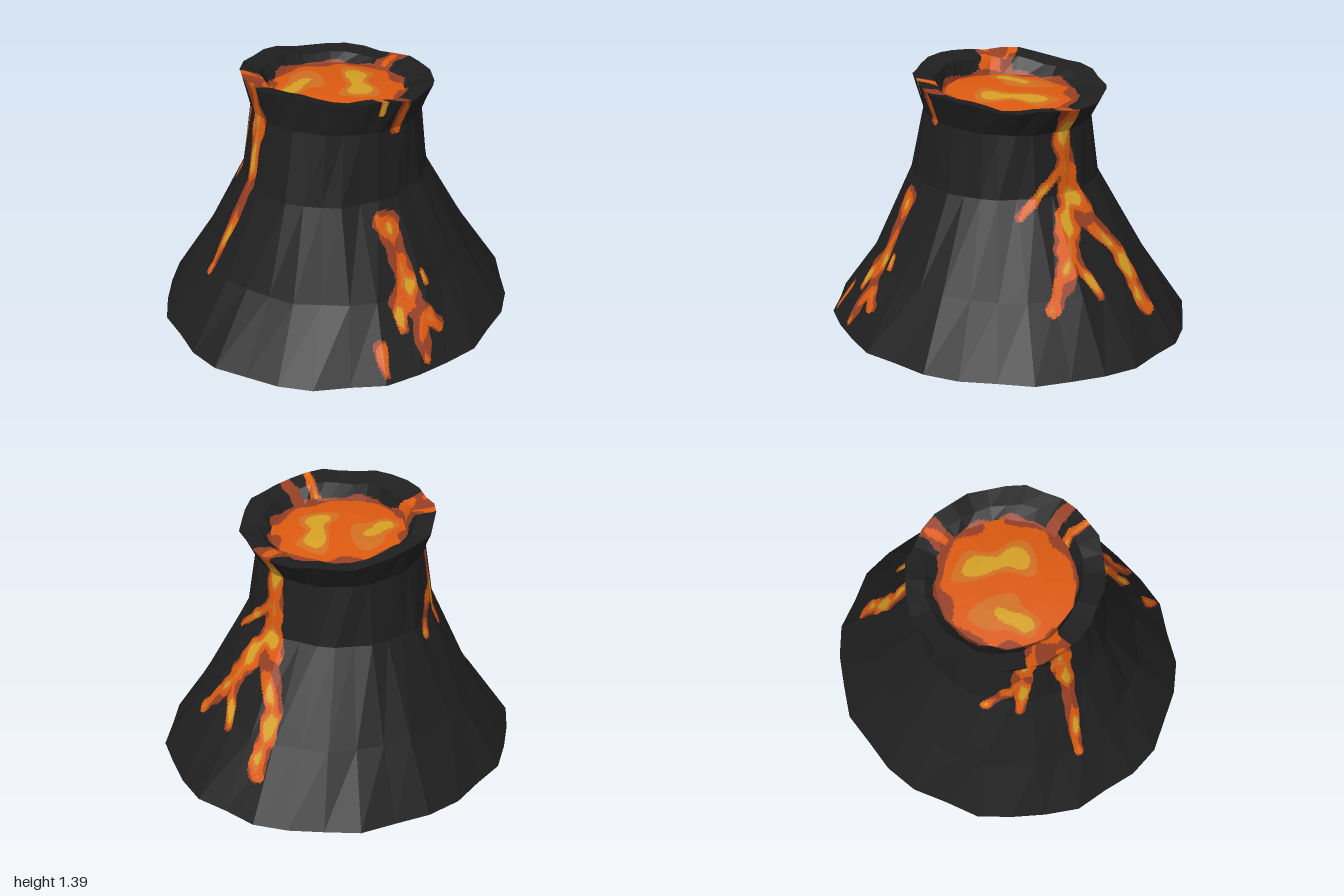
import * as THREE from 'three';

const mat = (name, color) => {
  const m = new THREE.MeshStandardMaterial({ color });
  m.name = name;
  return m;
};

const SIDES = 32;
const row = (s, y, rx, zf, zb, tilt) => ({ s, y, rx, zf, zb, tilt });

// rows from foot over the rim to the pool: path position s, height y,
// half width, front depth, back depth, tilt of height along z
const ROWS = [
  row(0, 0, 0.94, 1.0, 1.004, 0),
  row(0.35, 0.35, 0.73, 0.745, 0.77, 0),
  row(0.8, 0.81, 0.49, 0.55, 0.48, 0),
  row(1.15, 1.16, 0.45, 0.465, 0.435, 0.06),
  row(1.33, 1.325, 0.515, 0.49, 0.525, 0.11),
  row(1.45, 1.305, 0.415, 0.38, 0.425, 0.11),
  row(1.58, 1.24, 0.355, 0.355, 0.37, 0.04),
  row(1.75, 1.26, 0.18, 0.18, 0.18, 0.04),
  row(1.95, 1.265, 0, 0, 0, 0),
];
const POOL_ROW = 6;

// corner i of row j, with a small regular wobble in radius and rim height
function corner(i, j) {
  const { s, y, rx, zf, zb, tilt } = ROWS[j];
  const k = i % SIDES, deg = i * 360 / SIDES - 10;
  const a = THREE.MathUtils.degToRad(deg);
  const f = 1 + 0.015 * Math.cos(k * 2.4 + j * 1.7);
  const z = Math.cos(a) * f * (Math.cos(a) > 0 ? zf : zb);
  const bump = j === 4 || j === 5 ? 0.01 * Math.sin(k * 1.4) : 0;
  return { p: new THREE.Vector3(Math.sin(a) * f * rx, y + tilt * z + bump, z), deg, s };
}

// lava streams: points of [bearing in degrees, path position, half width]
const FRONT_STREAMS = [
  [[-40, 1.6, 0.09], [-33, 1.32, 0.07], [-31, 1.0, 0.055], [-35, 0.32, 0.028]],
  [[-44, 1.45, 0.05], [-58, 1.1, 0.055], [-61, 0.73, 0.028]],
  [[-60, 1.0, 0.04], [-80, 0.74, 0.025]],
];
const LEFT_STREAMS = [
  [[74, 1.6, 0.04], [72, 1.15, 0.033]],
  [[57, 1.6, 0.035], [57, 1.26, 0.016]],
  [[60, 0.69, 0.075], [61, 0.55, 0.055], [62, 0.3, 0.06], [70, 0.18, 0.042]],
  [[64, 0.27, 0.045], [62, 0.14, 0.05], [62, 0.05, 0.022]],
  [[61, 0.42, 0.04], [55, 0.34, 0.045], [56, 0.21, 0.024]],
  [[46, 0.15, 0.04], [47, 0.04, 0.022]],
  [[70, 0.43, 0.022], [70, 0.38, 0.02]],
];
const BACK_STREAMS = [
  [[167, 1.6, 0.06], [170, 1.05, 0.06], [172, 0.8, 0.08], [188, 0.5, 0.052], [188, 0.22, 0.06]],
  [[171, 0.85, 0.06], [160, 0.55, 0.07], [146, 0.31, 0.036]],
  [[161, 0.54, 0.04], [168, 0.33, 0.026]],
  [[168, 0.95, 0.035], [137, 0.72, 0.024]],
];
const STREAMS = [...FRONT_STREAMS, ...LEFT_STREAMS, ...BACK_STREAMS];

// bright spots in the pool: x, z
const SPOTS = [[0.02, -0.17], [0.07, -0.08], [0.13, 0.01], [-0.2, 0.07], [-0.15, 0.17]];

const noise = (p, f) => (Math.sin(p.x * f + 2 * Math.sin(p.y * f * 0.7 + p.z * f * 0.5))
  + Math.sin(p.z * f * 1.1 + 1.7 * Math.sin(p.x * f * 0.8 - p.y * f * 0.6) + 1)) / 2;

// how deep a point lies inside the streams, 1 on a centre line, below 0 outside
function streamDepth(p, deg, s) {
  const r = Math.hypot(p.x, p.z) * Math.PI / 180;
  let best = -1;
  for (const path of STREAMS) {
    for (let k = 1; k < path.length; k++) {
      const [d0, s0, w0] = path[k - 1], [d1, s1, w1] = path[k];
      const ax = (THREE.MathUtils.euclideanModulo(d0 - deg + 180, 360) - 180) * r;
      const ay = (s0 - s) * 1.15, dx = (d1 - d0) * r, dy = (s1 - s0) * 1.15;
      const t = THREE.MathUtils.clamp(-(ax * dx + ay * dy) / (dx * dx + dy * dy), 0, 1);
      const w = (w0 + (w1 - w0) * t) * (1 + 0.22 * noise(p, 32));
      best = Math.max(best, 1 - Math.hypot(ax + dx * t, ay + dy * t) / w);
    }
  }
  return best;
}

// colour index by heat: 0 rock, 1 ember, 2 orange, 3 amber, 4 yellow
const pick = (h) => (h < 0.2 ? 1 : h < 0.48 ? 2 : h < 0.62 ? 3 : 4);

function slopeColour(p, deg, s) {
  if (s > 1.555 + 0.03 * noise(p, 25)) return 1;
  const depth = streamDepth(p, deg, s);
  const cooling = s > 1.33 ? 0.22 : 0;
  return depth < 0 ? 0 : pick(depth * 0.48 + 0.1 - cooling + 0.42 * noise(p, 22));
}

function poolColour(p) {
  let h = 0.4 + 0.17 * noise(p, 19) - 0.25 * Math.max(0, Math.hypot(p.x, p.z) - 0.28) / 0.08;
  for (const [x, z] of SPOTS) h += 0.24 * Math.exp(-((p.x - x) ** 2 + (p.z - z) ** 2) / 0.006);
  return pick(h);
}

// cut a facet into small triangles, each with its own colour
function paintFacet(buckets, a, b, c, colour) {
  const size = Math.max(a.p.distanceTo(b.p), b.p.distanceTo(c.p), c.p.distanceTo(a.p));
  const n = Math.ceil(size / 0.017);
  const mix = (u, v) => ({
    p: a.p.clone().multiplyScalar(1 - u - v).addScaledVector(b.p, u).addScaledVector(c.p, v),
    deg: a.deg * (1 - u - v) + b.deg * u + c.deg * v,
    s: a.s * (1 - u - v) + b.s * u + c.s * v,
  });
  const pieces = [];
  const add = (...uv) => {
    const m = mix((uv[0][0] + uv[1][0] + uv[2][0]) / 3 / n, (uv[0][1] + uv[1][1] + uv[2][1]) / 3 / n);
    pieces.push([colour(m.p, m.deg, m.s), uv.map(([u, v]) => mix(u / n, v / n).p)]);
  };
  for (let u = 0; u < n; u++) {
    for (let v = 0; v < n - u; v++) {
      add([u, v], [u + 1, v], [u, v + 1]);
      if (u + v < n - 1) add([u + 1, v], [u + 1, v + 1], [u, v + 1]);
    }
  }
  // a facet of one colour stays whole
  if (pieces.every((q) => q[0] === pieces[0][0])) buckets[pieces[0][0]].push(a.p, b.p, c.p);
  else for (const [k, pts] of pieces) buckets[k].push(...pts);
}

function paintedMesh(name, from, to, colour, materials) {
  const buckets = materials.map(() => []);
  for (let j = from; j < to; j++) {
    for (let i = 0; i < SIDES; i++) {
      const a = corner(i, j), b = corner(i + 1, j), c = corner(i + 1, j + 1), d = corner(i, j + 1);
      paintFacet(buckets, a, b, c, colour);
      if (ROWS[j + 1].rx > 0) paintFacet(buckets, a, c, d, colour);
    }
  }
  const geo = new THREE.BufferGeometry().setFromPoints(buckets.flat());
  let start = 0;
  buckets.forEach((pts, k) => {
    if (pts.length) geo.addGroup(start, pts.length, k);
    start += pts.length;
  });
  geo.computeVertexNormals();
  const mesh = new THREE.Mesh(geo, materials);
  mesh.name = name;
  return mesh;
}

export function createModel() {
  const group = new THREE.Group();
  group.name = 'volcano';
  const materials = [
    mat('rock', 0x1f1f1f), mat('ember', 0x963f24), mat('orange', 0xdd5a10),
    mat('amber', 0xd27022), mat('yellow', 0xd6a024),
  ];
  // slopes, rim and crater wall with lava streams, then the pool
  group.add(paintedMesh('cone', 0, POOL_ROW, slopeColour, materials));
  group.add(paintedMesh('lavaPool', POOL_ROW, ROWS.length - 1, poolColour, materials));

  // flat underside
  const pts = [];
  for (let i = 0; i < SIDES; i++) pts.push(new THREE.Vector3(), corner(i + 1, 0).p, corner(i, 0).p);
  const geo = new THREE.BufferGeometry().setFromPoints(pts);
  geo.computeVertexNormals();
  const underside = new THREE.Mesh(geo, materials[0]);
  underside.name = 'underside';
  group.add(underside);
  return group;
}
